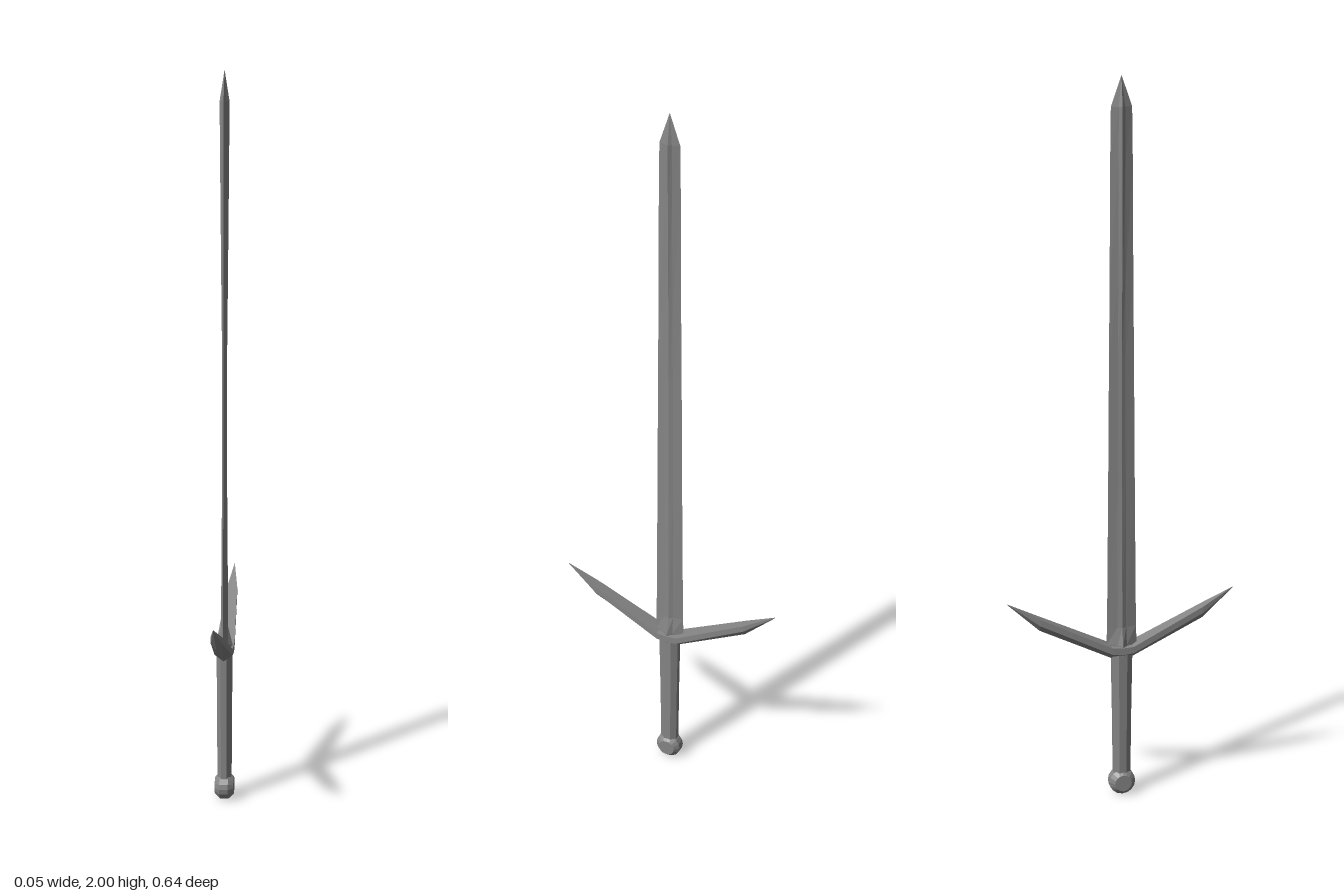
import * as THREE from 'three';

const steel = new THREE.MeshStandardMaterial({ color: 0x868686, flatShading: true });

// Skin a list of equal-length rings of [x, y, z] points and cap both ends
function loft(rings) {
  const pos = [];
  const n = rings[0].length;
  const tri = (a, b, c) => pos.push(...a, ...b, ...c);
  for (let r = 0; r < rings.length - 1; r++) {
    for (let i = 0; i < n; i++) {
      const j = (i + 1) % n;
      const [a, b, c, d] = [rings[r][i], rings[r + 1][i], rings[r][j], rings[r + 1][j]];
      tri(a, b, c);
      tri(c, b, d);
    }
  }
  const centre = (ring) => [0, 1, 2].map((k) => ring.reduce((s, p) => s + p[k], 0) / n);
  const first = rings[0], last = rings[rings.length - 1];
  for (let i = 0; i < n; i++) {
    const j = (i + 1) % n;
    tri(centre(first), first[i], first[j]);
    tri(centre(last), last[j], last[i]);
  }
  const g = new THREE.BufferGeometry();
  g.setAttribute('position', new THREE.Float32BufferAttribute(pos, 3));
  g.computeVertexNormals();
  return g;
}

// Four-pointed hollow-ground blade section: ridge height t, half width w
function bladeRing([y, t, w]) {
  const a = t * 0.5, b = w * 0.3;
  return [[t, 0], [a, b], [0, w], [-a, b], [-t, 0], [-a, -b], [0, -w], [a, -b]]
    .map(([x, z]) => [x, y, z]);
}

// Eight-sided grip section
function gripRing([y, rx, rz]) {
  return Array.from({ length: 8 }, (_, i) => {
    const th = (i + 0.5) * Math.PI / 4, k = 1 / Math.cos(Math.PI / 8);
    return [rx * k * Math.cos(th), y, rz * k * Math.sin(th)];
  });
}

// Guard section: flat top, short sides, keeled underside
function guardRing([z, half, top, bottom]) {
  const mid = (top + bottom) / 2;
  return [[half, top], [half, mid], [0, bottom], [-half, mid], [-half, top]]
    .map(([x, y]) => [x, y, z]);
}

export function createModel() {
  const sword = new THREE.Group();
  sword.name = 'sword';
  const add = (name, geometry) => {
    const mesh = new THREE.Mesh(geometry, steel);
    mesh.name = name;
    sword.add(mesh);
    return mesh;
  };

  // Blade, [height, half thickness, half width]
  add('blade', loft([
    [0.42, 0.024, 0.044], [0.45, 0.022, 0.043], [0.5, 0.01, 0.041], [0.9, 0.007, 0.037],
    [1.27, 0.007, 0.034], [1.46, 0.009, 0.032], [1.78, 0.012, 0.03], [1.92, 0.013, 0.028],
    [2.0, 0, 0],
  ].map(bladeRing)));

  // Crossguard, [distance from centre, half depth, top, bottom], mirrored in z
  const arm = [
    [0.03, 0.025, 0.447, 0.41], [0.23, 0.015, 0.545, 0.508], [0.318, 0, 0.592, 0.59],
  ];
  const otherArm = arm.map(([z, ...rest]) => [-z, ...rest]).reverse();
  add('crossguard', loft([...otherArm, [0, 0.025, 0.445, 0.405], ...arm].map(guardRing)));

  // Grip
  add('grip', loft([[0.06, 0.019, 0.024], [0.25, 0.02, 0.026], [0.43, 0.021, 0.029]].map(gripRing)));

  // Pommel: bevelled disc facing sideways
  const profile = [[0, -0.026], [0.024, -0.026], [0.037, -0.012], [0.037, 0.012], [0.024, 0.026], [0, 0.026]]
    .map(([r, h]) => new THREE.Vector2(r, h));
  const pommel = add('pommel', new THREE.LatheGeometry(profile, 16));
  pommel.rotation.z = Math.PI / 2;
  pommel.position.y = 0.037;

  return sword;
}
